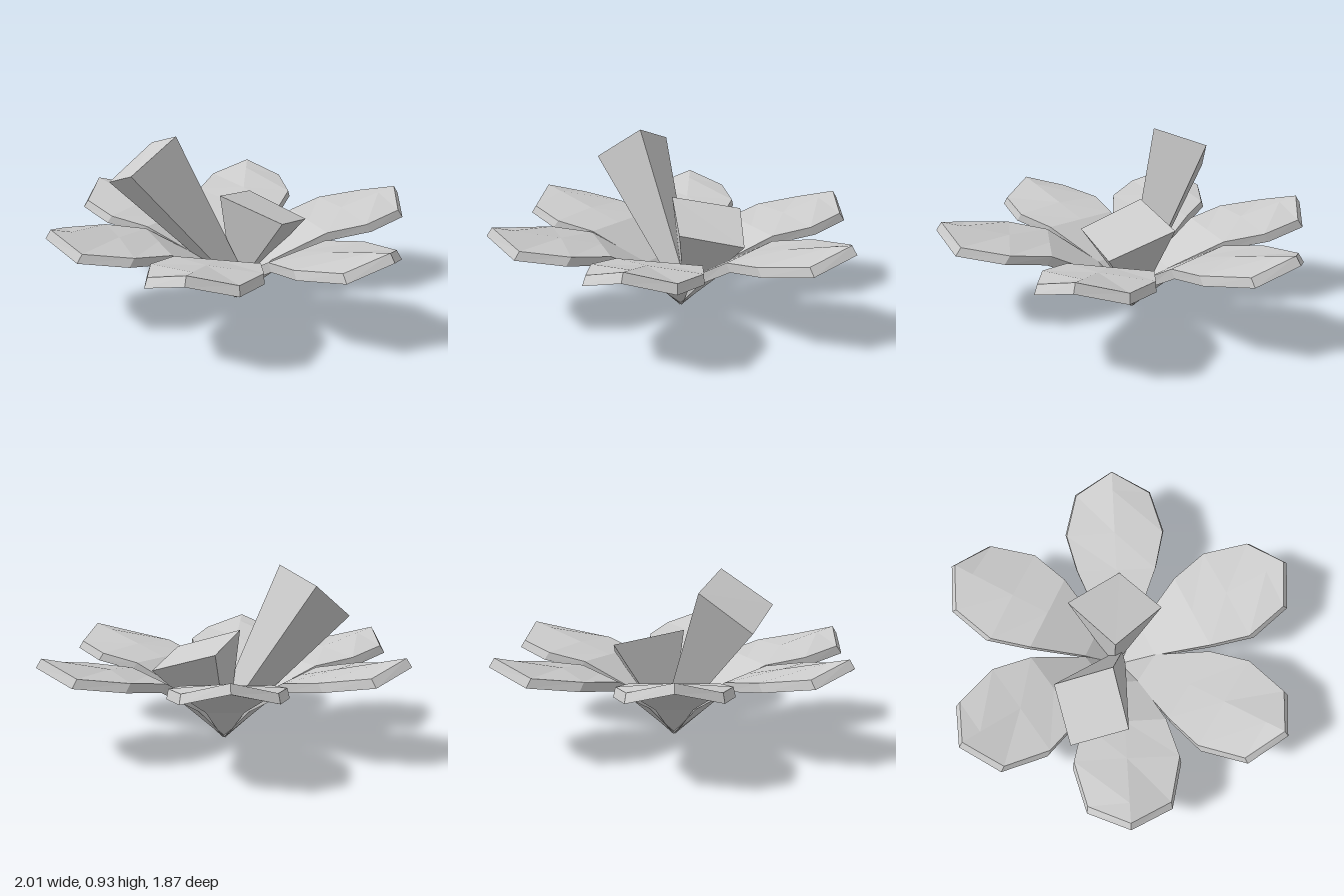
import * as THREE from 'three';

const material = new THREE.MeshStandardMaterial({ color: 0xcccccc, flatShading: true });

// Closed skin through rings of equal point count, capped at both ends
function loft(rings) {
  const n = rings[0].length, last = (rings.length - 1) * n, index = [];
  for (let i = 0; i < rings.length - 1; i++) {
    for (let j = 0; j < n; j++) {
      const a = i * n + j, b = i * n + (j + 1) % n;
      index.push(a, a + n, b + n, a, b + n, b);
    }
  }
  for (let j = 1; j < n - 1; j++) {
    index.push(0, j, j + 1, last, last + j + 1, last + j);
  }
  const g = new THREE.BufferGeometry();
  g.setAttribute('position', new THREE.Float32BufferAttribute(rings.flat(2), 3));
  g.setIndex(index);
  g.computeVertexNormals();
  return g;
}

// Petal running out along +x: [distance, half width, edge height, ridge height]
function petalGeometry() {
  const rows = [
    [0, 0.01, 0, 0],
    [0.2, 0.1, 0.19, 0.19],
    [0.468, 0.227, 0.35, 0.35],
    [0.677, 0.282, 0.386, 0.403],
    [0.916, 0.217, 0.42, 0.464],
    [1.02, 0, 0.49, 0.49],
  ];
  return loft(rows.map(([x, w, edge, ridge]) => {
    const tx = x - 0.028 * Math.min(1, x / 0.2), tw = w * 0.97, t = 0.042;
    return [
      [x, edge, -w], [x, ridge, 0], [x, edge, w],
      [tx, edge + t, tw], [tx, ridge + t, 0], [tx, edge + t, -tw],
    ];
  }));
}

// Square prism tapering from a broad tilted end down to a small base
function stamenGeometry(end, base, taper) {
  const centre = [0, 1, 2].map((k) => end.reduce((s, p) => s + p[k], 0) / end.length);
  const foot = end.map((p) => p.map((v, k) => base[k] + (v - centre[k]) * taper));
  return loft([foot, end]);
}

export function createModel() {
  const group = new THREE.Group();
  group.name = 'flower';
  const add = (geometry, name) => {
    const mesh = new THREE.Mesh(geometry, material);
    mesh.name = name;
    group.add(mesh);
    return mesh;
  };

  // Six petals, slightly unevenly spaced around the base
  const petal = petalGeometry();
  [12.6, 70.1, 124.8, 181.7, 241.9, 305.1].forEach((degrees, i) => {
    const mesh = add(petal, `petal${i + 1}`);
    mesh.position.set(0.01, 0, -0.02);
    mesh.rotation.y = -THREE.MathUtils.degToRad(degrees);
  });

  // Two blocky stamens rising from the middle
  add(stamenGeometry(
    [[-0.47, 0.84, 0.08], [-0.21, 0.93, 0.21], [-0.31, 0.76, 0.46], [-0.57, 0.66, 0.33]],
    [0, 0.11, -0.03], 0.25), 'tallStamen');
  add(stamenGeometry(
    [[-0.06, 0.59, 0.03], [-0.1, 0.52, -0.34], [0.26, 0.41, -0.35], [0.295, 0.48, -0.02]],
    [0, 0.09, -0.06], 0.15), 'shortStamen');

  return group;
}
